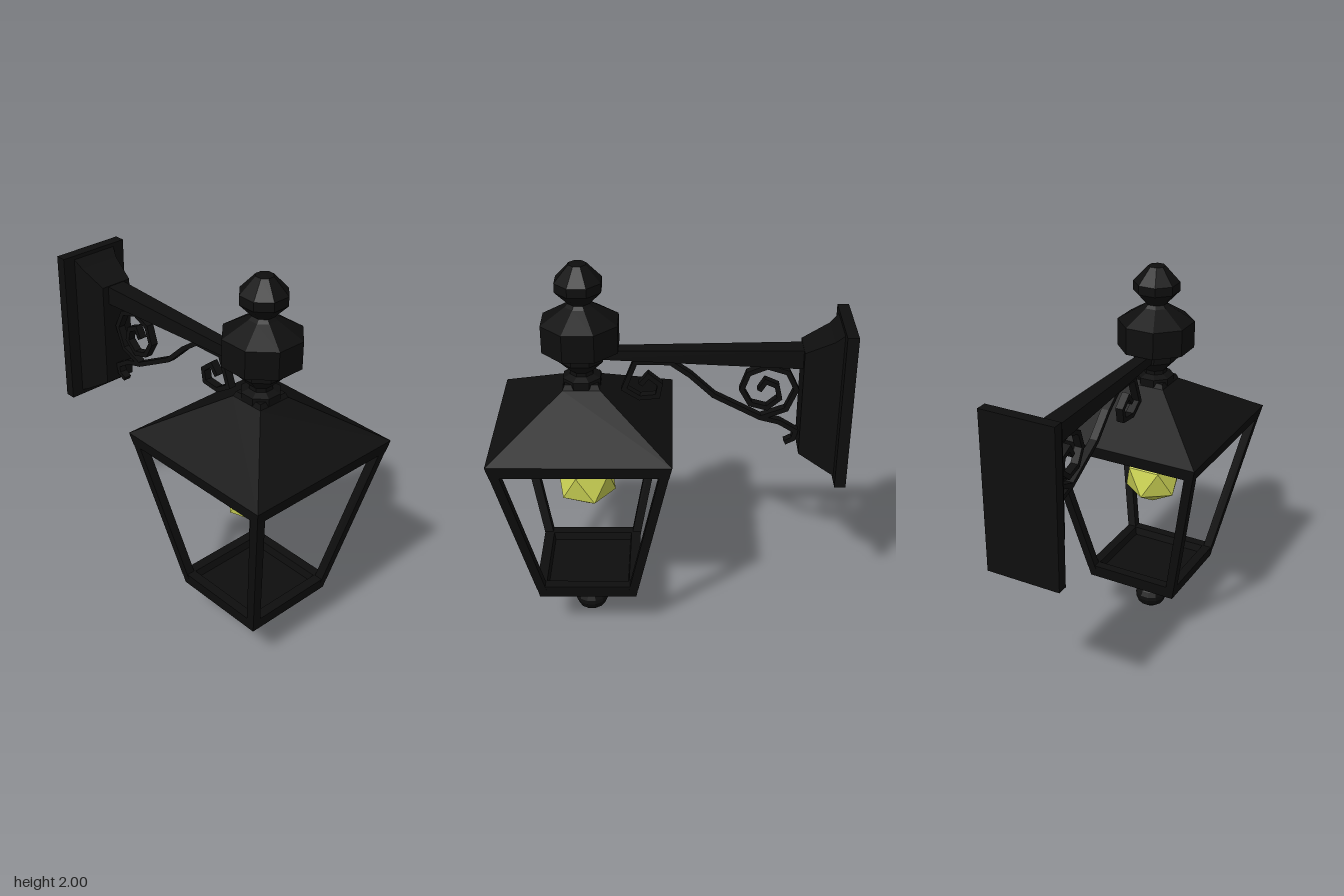
import * as THREE from 'three';

const iron = new THREE.MeshStandardMaterial({ color: 0x0e0e0e, flatShading: true });
const glow = new THREE.MeshStandardMaterial({ color: 0xcfd656, flatShading: true });
const LAMP_X = 0.425;

function part(name, geometry, material = iron) {
  const mesh = new THREE.Mesh(geometry, material);
  mesh.name = name;
  return mesh;
}

// Faceted turning: radii are measured to the flats, one flat faces the front
function turned(name, sides, profile) {
  const k = 1 / Math.cos(Math.PI / sides);
  const pts = profile.map(([r, y]) => new THREE.Vector2(r * k, y));
  return part(name, new THREE.LatheGeometry(pts, sides, Math.PI / sides));
}

// Box whose corners are set by two rectangles at its -x and +x ends: [x, yLow, yHigh, halfZ]
function taperX(name, a, b) {
  const g = new THREE.BoxGeometry(2, 2, 2);
  const p = g.attributes.position;
  for (let i = 0; i < p.count; i++) {
    const [x, lo, hi, hz] = p.getX(i) < 0 ? a : b;
    p.setXYZ(i, x, p.getY(i) < 0 ? lo : hi, p.getZ(i) * hz);
  }
  return part(name, g);
}

// Flat iron strip of constant width following points in the xy plane
function strip(name, points, width, depth) {
  const v = points.map(([x, y]) => new THREE.Vector2(x, y));
  const left = [], right = [];
  v.forEach((p, i) => {
    const d0 = p.clone().sub(v[Math.max(i - 1, 0)]).normalize();
    const d1 = v[Math.min(i + 1, v.length - 1)].clone().sub(p).normalize();
    const t = d0.clone().add(d1).normalize();
    const c = Math.max(0.6, t.dot(i ? d0 : d1));
    const n = new THREE.Vector2(-t.y, t.x).multiplyScalar(width / 2 / c);
    left.push(p.clone().add(n));
    right.unshift(p.clone().sub(n));
  });
  const g = new THREE.ExtrudeGeometry(new THREE.Shape([...left, ...right]), { depth, bevelEnabled: false });
  g.translate(0, 0, -depth / 2);
  return part(name, g);
}

// Corner post leaning outwards towards the roof
function post(sx, sz) {
  const g = new THREE.BoxGeometry(2, 2, 2);
  const p = g.attributes.position;
  for (let i = 0; i < p.count; i++) {
    const top = p.getY(i) > 0;
    const mid = top ? 0.4 : 0.236;
    p.setXYZ(i, sx * mid + p.getX(i) * 0.023, top ? 1.12 : 0.31, sz * mid + p.getZ(i) * 0.023);
  }
  return part('cornerPost', g);
}

export function createModel() {
  const model = new THREE.Group();
  model.name = 'wallLantern';

  // Wall plate and its stepped, tapering block
  const bracket = new THREE.Group();
  bracket.name = 'wallBracket';
  bracket.add(
    taperX('wallPlate', [-0.86, 0.9, 1.71, 0.19], [-0.805, 0.9, 1.71, 0.19]),
    taperX('plateMoulding', [-0.805, 0.925, 1.69, 0.125], [-0.765, 0.945, 1.65, 0.11]),
    taperX('plateBlock', [-0.765, 0.945, 1.65, 0.11], [-0.63, 1.03, 1.58, 0.085]),
    taperX('arm', [-0.64, 1.48, 1.577, 0.05], [0.38, 1.522, 1.567, 0.03])
  );

  // Scrolled ironwork under the arm
  bracket.add(
    strip('braceScroll', [
      [-0.566, 1.053], [-0.608, 1.075], [-0.617, 1.118], [-0.534, 1.17], [-0.44, 1.195],
      [-0.21, 1.318], [-0.095, 1.428], [0, 1.497], [0.168, 1.5], [0.225, 1.355],
      [0.15, 1.306], [0.062, 1.315], [0.05, 1.378], [0.106, 1.425], [0.145, 1.378]
    ], 0.024, 0.04),
    strip('wallScroll', [
      [-0.44, 1.195], [-0.565, 1.242], [-0.61, 1.35], [-0.565, 1.443], [-0.465, 1.475],
      [-0.375, 1.437], [-0.345, 1.35], [-0.388, 1.272], [-0.47, 1.25], [-0.53, 1.303],
      [-0.515, 1.37], [-0.46, 1.395], [-0.43, 1.345]
    ], 0.024, 0.04)
  );
  model.add(bracket);

  const lantern = new THREE.Group();
  lantern.name = 'lantern';
  lantern.position.x = LAMP_X;

  // Octagonal chimney cap with finial
  lantern.add(turned('capAndFinial', 8, [
    [0, 1.38], [0.09, 1.38], [0.09, 1.425], [0.055, 1.44], [0.055, 1.46], [0.105, 1.515],
    [0.105, 1.577], [0.18, 1.577], [0.18, 1.715], [0.065, 1.79], [0.05, 1.805],
    [0.108, 1.87], [0.108, 1.915], [0.04, 1.995], [0, 2]
  ]));

  // Square hollow roof
  lantern.add(turned('roof', 4, [
    [0, 1.36], [0.08, 1.36], [0.375, 1.16], [0.375, 1.1], [0.42, 1.1],
    [0.434, 1.165], [0.09, 1.385], [0.08, 1.41], [0, 1.41]
  ]));

  for (const sx of [-1, 1]) for (const sz of [-1, 1]) lantern.add(post(sx, sz));

  // Base tray with raised rim
  lantern.add(turned('baseTray', 4, [
    [0, 0.26], [0.249, 0.26], [0.262, 0.333], [0.212, 0.333], [0.205, 0.29], [0, 0.29]
  ]));

  // Drop finial below the tray
  lantern.add(turned('dropDish', 12, [
    [0, 0.225], [0.06, 0.228], [0.12, 0.244], [0.145, 0.262], [0, 0.262]
  ]));
  lantern.add(turned('dropFinial', 12, [
    [0, 0], [0.04, 0.01], [0.07, 0.033], [0.084, 0.07], [0.082, 0.09], [0.07, 0.115],
    [0.05, 0.13], [0.08, 0.157], [0.05, 0.195], [0.027, 0.205], [0.027, 0.235]
  ]));

  // Bulb holder and faceted bulb standing on a vertex
  lantern.add(turned('bulbHolder', 8, [
    [0, 0.95], [0.058, 0.95], [0.058, 1.03], [0.095, 1.03], [0.1, 1.32], [0, 1.32]
  ]));
  const bulb = new THREE.IcosahedronGeometry(0.162, 0);
  bulb.rotateZ(-Math.atan(2 / (1 + Math.sqrt(5))));
  bulb.translate(0, 0.838, 0);
  lantern.add(part('bulb', bulb, glow));

  model.add(lantern);
  return model;
}
